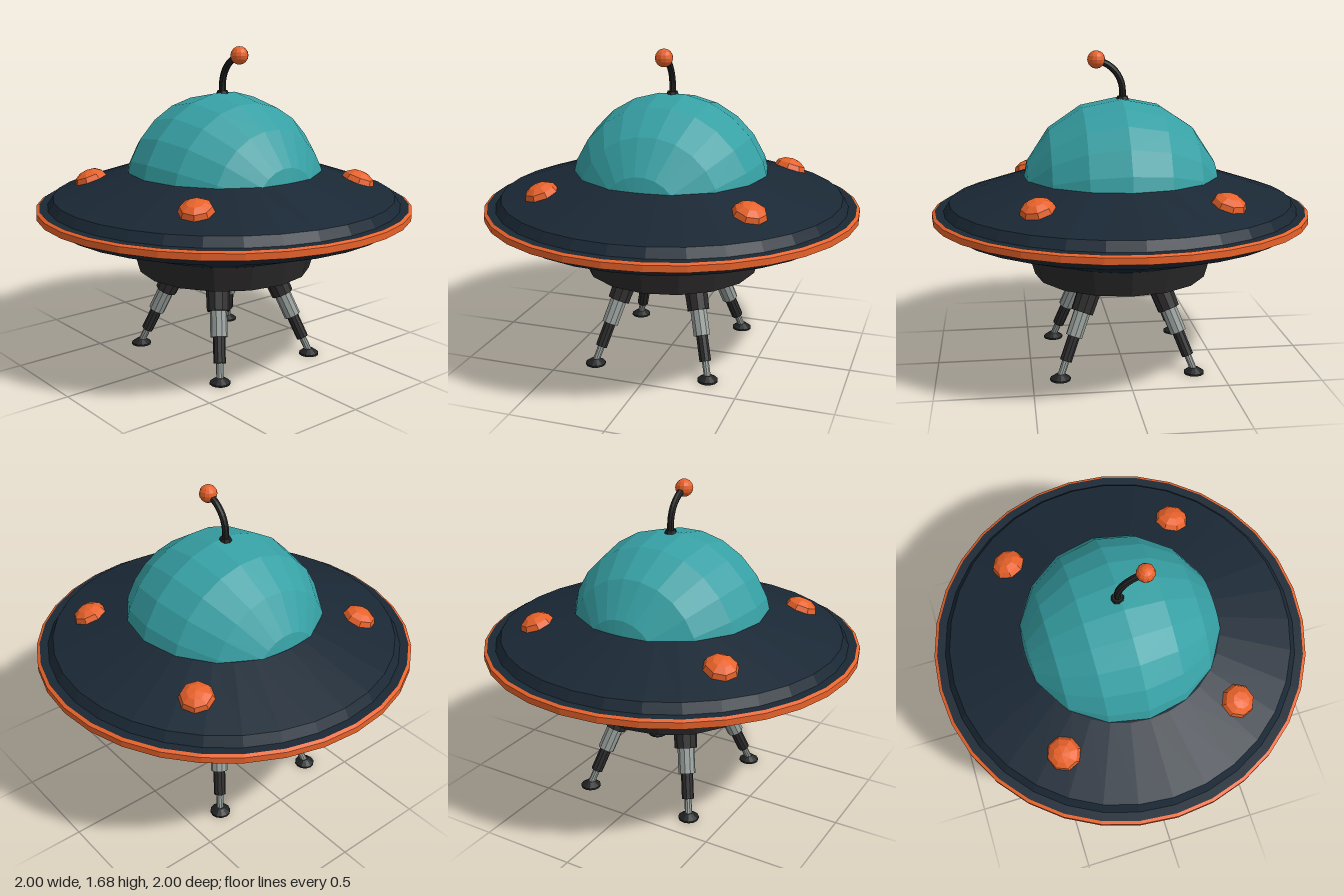
import * as THREE from 'three';

const paint = (color) => new THREE.MeshStandardMaterial({ color, flatShading: true });
const navy = paint(0x1a2835), teal = paint(0x36a0a4), orange = paint(0xe8622a);
const dark = paint(0x2d2b2c), black = paint(0x202122), metal = paint(0x969e9a);

function add(parent, name, geometry, material) {
  const mesh = new THREE.Mesh(geometry, material);
  mesh.name = name;
  parent.add(mesh);
  return mesh;
}

// Turned part from [radius, height] pairs, listed bottom to top
const lathe = (points, sides) =>
  new THREE.LatheGeometry(points.map(([r, y]) => new THREE.Vector2(r, y)), sides);

// Cylinder between two points
function rod(parent, name, from, to, rTop, rBottom, material) {
  const dir = from.clone().sub(to);
  const mesh = add(parent, name, new THREE.CylinderGeometry(rTop, rBottom, dir.length(), 10), material);
  mesh.position.copy(from).add(to).multiplyScalar(0.5);
  mesh.quaternion.setFromUnitVectors(new THREE.Vector3(0, 1, 0), dir.normalize());
}

function makeLeg(sx, sz) {
  const leg = new THREE.Group();
  leg.name = 'landingLeg';
  const hip = new THREE.Vector3(0.175 * sx, 0.48, 0.185 * sz);
  const ankle = new THREE.Vector3(0.355 * sx, 0.015, 0.315 * sz);
  const at = (t) => hip.clone().lerp(ankle, t);
  rod(leg, 'legSocket', at(0), at(0.31), 0.064, 0.06, dark);
  rod(leg, 'legSleeve', at(0.29), at(0.57), 0.045, 0.045, metal);
  rod(leg, 'legPiston', at(0.55), at(0.83), 0.032, 0.032, dark);
  rod(leg, 'legRod', at(0.8), at(1), 0.019, 0.019, metal);
  const foot = add(leg, 'footPad', lathe([[0, 0], [0.054, 0], [0.054, 0.01], [0.022, 0.032], [0, 0.032]], 12), black);
  foot.position.set(ankle.x, 0, ankle.z);
  return leg;
}

export function createModel() {
  const model = new THREE.Group();
  model.name = 'flyingSaucer';

  // Saucer hull with a flange that carries the rim band
  add(model, 'hull', lathe([
    [0, 0.625], [0.5, 0.625], [0.91, 0.765], [0.94, 0.806], [0.985, 0.806],
    [0.985, 0.853], [0.94, 0.853], [0.91, 0.9], [0.52, 1.03], [0, 1.03],
  ], 32), navy);
  add(model, 'rimBand', lathe([[0.984, 0.805], [1, 0.812], [1, 0.845], [0.984, 0.854]], 32), orange);
  add(model, 'underbody', lathe([[0, 0.445], [0.32, 0.445], [0.465, 0.49], [0.505, 0.63], [0, 0.63]], 16), dark);

  // Dome, its poles lying along x and its lower edge inside the hull
  const deg = Math.PI / 180;
  const domeGeometry = new THREE.SphereGeometry(0.538, 13, 8, -97.5 * deg, 195 * deg);
  domeGeometry.rotateZ(-Math.PI / 2);
  add(model, 'dome', domeGeometry, teal).position.y = 0.9;

  // Lamps tilted with the hull slope, and legs below
  const up = new THREE.Vector3(0, 1, 0);
  for (const sx of [-1, 1]) {
    for (const sz of [-1, 1]) {
      const lamp = add(model, 'hullLamp', new THREE.SphereGeometry(0.09, 8, 3, 0, Math.PI * 2, 0, Math.PI / 2), orange);
      lamp.position.set(0.465 * sx, 0.962, 0.545 * sz);
      lamp.scale.y = 0.65;
      lamp.quaternion.setFromUnitVectors(up, new THREE.Vector3(0.21 * sx, 0.94, 0.25 * sz).normalize());
      model.add(makeLeg(sx, sz));
    }
  }

  // Bent antenna with a ball tip
  const antenna = new THREE.Group();
  antenna.name = 'antenna';
  const curve = new THREE.CatmullRomCurve3([
    [-0.012, 1.42], [-0.01, 1.5], [0.015, 1.56], [0.06, 1.605], [0.125, 1.635],
  ].map(([x, y]) => new THREE.Vector3(x, y, 0)));
  add(antenna, 'antennaStem', new THREE.TubeGeometry(curve, 12, 0.018, 8), black);
  add(antenna, 'antennaBase', new THREE.CylinderGeometry(0.028, 0.034, 0.018, 8), black).position.set(-0.012, 1.435, 0);
  add(antenna, 'antennaBall', new THREE.SphereGeometry(0.047, 12, 8), orange).position.set(0.125, 1.635, 0);
  model.add(antenna);

  return model;
}
